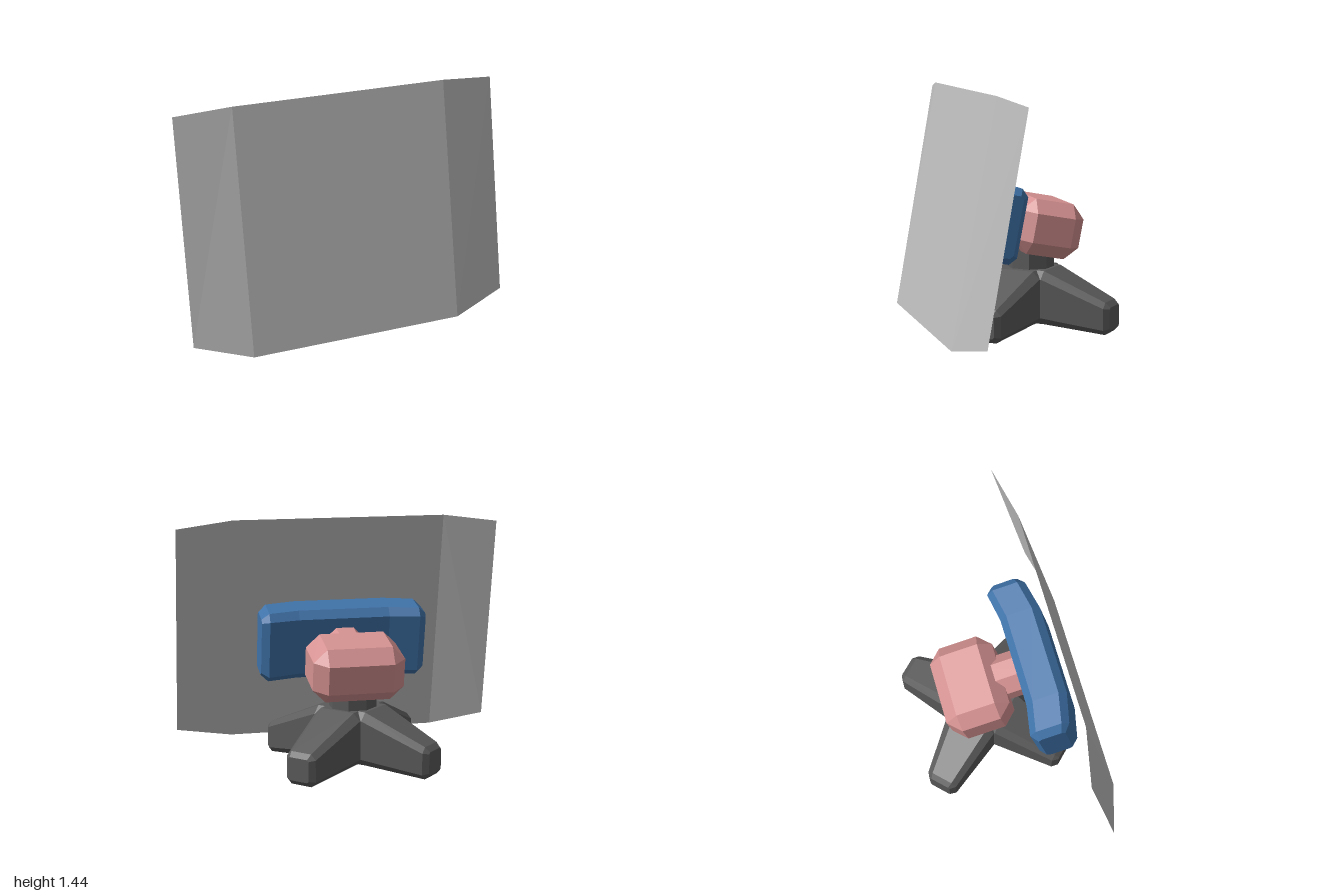
import * as THREE from 'three';
import { ConvexGeometry } from 'three/addons/geometries/ConvexGeometry.js';

const mat = (name, color) => {
  const m = new THREE.MeshStandardMaterial({ color });
  m.name = name;
  return m;
};

// Flat-shaded geometry from a list of quads (corners counter-clockwise)
function fromQuads(quads) {
  const pos = [];
  for (const [a, b, c, d] of quads) for (const p of [a, b, c, a, c, d]) pos.push(...p);
  const g = new THREE.BufferGeometry();
  g.setAttribute('position', new THREE.Float32BufferAttribute(pos, 3));
  g.computeVertexNormals();
  return g;
}

// Octagonal cross-section at x: a rectangle with its corners cut by c
const octagon = (x, y0, y1, z0, z1, c) => [
  [x, y1, z1 - c], [x, y1 - c, z1], [x, y0 + c, z1], [x, y0, z1 - c],
  [x, y0, z0 + c], [x, y0 + c, z0], [x, y1 - c, z0], [x, y1, z0 + c],
];

// Closed loft through octagons ordered along +x
function loft(sections) {
  const quads = [];
  for (let i = 0; i < sections.length - 1; i++) {
    const s = sections[i], t = sections[i + 1];
    for (let j = 0; j < 8; j++) {
      const k = (j + 1) % 8;
      quads.push([s[j], s[k], t[k], t[j]]);
    }
  }
  const first = [...sections[0]].reverse(), last = sections[sections.length - 1];
  for (const cap of [first, last]) {
    for (const j of [1, 3, 5]) quads.push([cap[0], cap[j], cap[j + 1], cap[(j + 2) % 8]]);
  }
  return fromQuads(quads);
}

// Box with every edge and corner chamfered by c
function chamferBox(w, h, d, c) {
  const points = [];
  for (const sx of [-1, 1]) for (const sy of [-1, 1]) for (const sz of [-1, 1]) {
    for (let axis = 0; axis < 3; axis++) {
      const [x, y, z] = [w, h, d].map((s, i) => s / 2 - (i === axis ? 0 : c));
      points.push(new THREE.Vector3(sx * x, sy * y, sz * z));
    }
  }
  return new ConvexGeometry(points);
}

export function createModel() {
  const model = new THREE.Group();
  const dark = mat('dark grey', 0x5a5a5a);
  const pink = mat('pink', 0xd69292);
  const blue = mat('blue', 0x3f72a8);
  const pale = mat('light grey', 0xbcbcbc);
  pale.side = THREE.DoubleSide;

  const add = (parent, name, geometry, material, x = 0, y = 0, z = 0) => {
    const mesh = new THREE.Mesh(geometry, material);
    mesh.name = name;
    mesh.position.set(x, y, z);
    parent.add(mesh);
    return mesh;
  };

  // Four-legged cross base
  const base = new THREE.Group();
  base.name = 'base';
  base.position.z = -0.105;
  model.add(base);
  const leg = loft([
    octagon(0, 0.035, 0.36, -0.165, 0.165, 0.045),
    octagon(0.165, 0.035, 0.36, -0.16, 0.16, 0.045),
    octagon(0.545, 0, 0.195, -0.1, 0.1, 0.032),
    octagon(0.575, 0.03, 0.167, -0.07, 0.07, 0.01),
  ]);
  for (let i = 0; i < 4; i++) {
    add(base, 'leg', leg, dark).rotation.y = Math.PI / 4 + i * Math.PI / 2;
  }

  // Upright post
  const post = new THREE.CylinderGeometry(0.145, 0.145, 0.22, 8).toNonIndexed();
  post.computeVertexNormals();
  add(model, 'post', post, dark, 0, 0.44, -0.122).rotation.y = Math.PI / 8;

  // Tilted head: joint, arm and backing block
  const head = new THREE.Group();
  head.name = 'tiltHead';
  head.rotation.x = -0.19;
  model.add(head);
  add(head, 'joint', chamferBox(0.55, 0.335, 0.4, 0.08), pink, 0, 0.634, -0.06);

  const arm = new THREE.CylinderGeometry(0.14, 0.14, 0.26, 8).toNonIndexed();
  arm.rotateY(Math.PI / 8);
  arm.rotateX(Math.PI / 2);
  arm.computeVertexNormals();
  add(head, 'arm', arm, pink, 0, 0.633, 0.18);

  add(head, 'backingBlock', loft([
    octagon(-0.51, 0.465, 0.828, 0.245, 0.41, 0.02),
    octagon(-0.465, 0.425, 0.868, 0.208, 0.45, 0.042),
    octagon(-0.28, 0.425, 0.868, 0.24, 0.49, 0.045),
    octagon(0.28, 0.425, 0.868, 0.24, 0.49, 0.045),
    octagon(0.465, 0.425, 0.868, 0.208, 0.45, 0.042),
    octagon(0.51, 0.465, 0.828, 0.245, 0.41, 0.02),
  ]), blue);

  // Thin folded screen: a wide centre panel with two swept-back wings
  const columns = [
    [-1, 0.11, 0.455, 1.405, 0.225],
    [-0.675, 0.03, 0.558, 1.443, 0.29],
    [0.645, 0.03, 0.558, 1.443, 0.29],
    [1, 0.11, 0.455, 1.405, 0.225],
  ].map(([x, y0, z0, y1, z1]) => [[x, y0, z0], [x, y1, z1]]);
  const panels = [0, 1, 2].map((i) => [
    columns[i][0], columns[i + 1][0], columns[i + 1][1], columns[i][1],
  ]);
  add(model, 'screen', fromQuads(panels), pale);

  return model;
}
